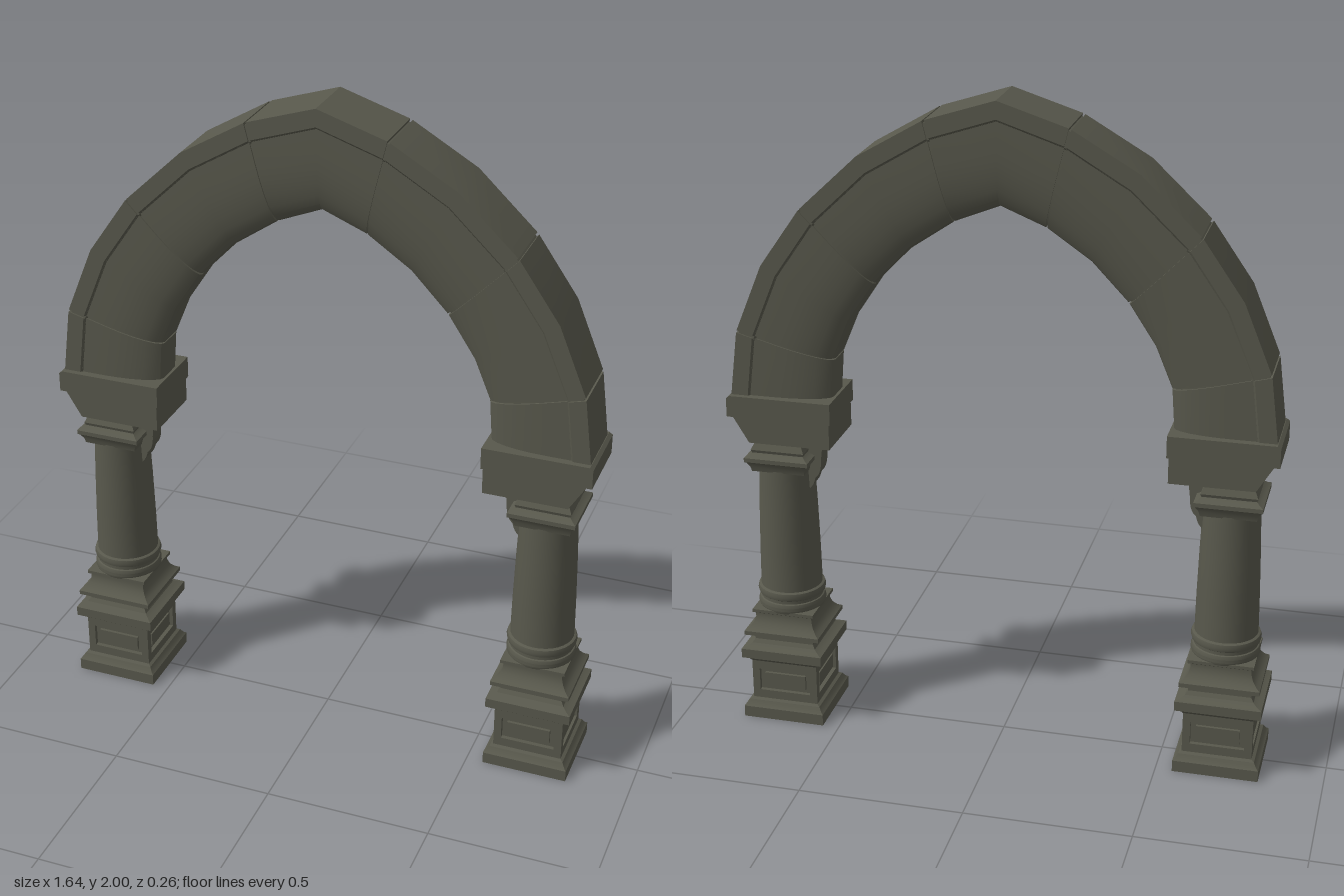
import * as THREE from 'three';
import { toCreasedNormals } from 'three/addons/utils/BufferGeometryUtils.js';

const stone = new THREE.MeshStandardMaterial({ color: 0x58584c });
stone.name = 'dark stone';

function add(parent, name, geometry) {
  const mesh = new THREE.Mesh(geometry, stone);
  mesh.name = name;
  parent.add(mesh);
  return mesh;
}

// Square moulding: profile of [half width, y], turned into a four-sided lathe
function squareTurned(profile) {
  const pts = profile.map(([r, y]) => new THREE.Vector2(r * Math.SQRT2, y));
  return toCreasedNormals(new THREE.LatheGeometry(pts, 4, Math.PI / 4), 0.4);
}

function roundTurned(profile) {
  const pts = profile.map(([r, y]) => new THREE.Vector2(r, y));
  return toCreasedNormals(new THREE.LatheGeometry(pts, 32), 0.6);
}

function polygon(points) {
  return new THREE.Shape(points.map(([x, y]) => new THREE.Vector2(x, y)));
}

function slab(shape, depth) {
  const g = new THREE.ExtrudeGeometry(shape, { depth, bevelEnabled: false, curveSegments: 8 });
  return g.translate(0, 0, -depth / 2);
}

const rect = (w, y0, y1) => [[-w, y0], [w, y0], [w, y1], [-w, y1]];

// Arch stations: outer and inner edge, from the springing to the crown
const half = [
  [0.812, 1.06, 0.51, 1.06], [0.785, 1.273, 0.5, 1.194], [0.70, 1.48, 0.45, 1.315],
  [0.578, 1.655, 0.37, 1.437], [0.403, 1.82, 0.262, 1.55], [0.207, 1.934, 0.133, 1.638],
  [0, 2, 0, 1.692],
];
const stations = [
  ...half.map(([a, b, c, d]) => [-a, b, -c, d]),
  ...half.slice(0, -1).reverse(),
];

// Cross-section of [share of the way inwards, z]: flat outer band, fillet, rounded soffit edge
const side = [[0, 0.094], [0.17, 0.094], [0.19, 0.088], [0.42, 0.088]];
for (let i = 1; i <= 6; i++) {
  const a = (i / 6) * Math.PI / 2;
  side.push([0.42 + 0.58 * Math.sin(a), 0.04 + 0.048 * Math.cos(a)]);
}
const section = [...side, ...side.map(([t, z]) => [t, -z]).reverse()];

function sweep(path, shrink) {
  const pos = [], index = [], n = section.length, last = path.length - 1;
  const put = ([ox, oy, ix, iy], t, z) => pos.push(ox + (ix - ox) * t, oy + (iy - oy) * t, z);
  for (const s of path) {
    for (const [t, z] of section) put(s, 0.5 + (t - 0.5) * shrink, z * shrink);
  }
  put(path[0], 0.4, 0);
  put(path[last], 0.4, 0);
  const c0 = n * path.length;
  for (let j = 0; j < n; j++) {
    const k = (j + 1) % n;
    for (let i = 0; i < last; i++) {
      const a = i * n + j, c = i * n + k;
      index.push(a, c, c + n, a, c + n, a + n);
    }
    index.push(c0, k, j, c0 + 1, last * n + j, last * n + k);
  }
  const g = new THREE.BufferGeometry();
  g.setAttribute('position', new THREE.Float32BufferAttribute(pos, 3));
  g.setIndex(index);
  return toCreasedNormals(g, 0.4);
}

// Moves the end station a little towards its neighbour to open a joint
function pulled(from, to) {
  const k = 0.004 / Math.hypot(to[0] - from[0], to[1] - from[1]);
  return from.map((v, i) => v + (to[i] - v) * k);
}

function createArch() {
  const arch = new THREE.Group();
  arch.name = 'arch';
  add(arch, 'archCore', sweep(stations, 0.95));
  const joints = [0, 1, 3, 5, 7, 9, 11, 12];
  for (let i = 0; i < joints.length - 1; i++) {
    const path = stations.slice(joints[i], joints[i + 1] + 1);
    const e = path.length - 1;
    const first = pulled(path[0], path[1]), end = pulled(path[e], path[e - 1]);
    path[0] = first;
    path[e] = end;
    add(arch, i === 3 ? 'keystone' : 'archBlock', sweep(path, 1));
  }
  return arch;
}

function createPier() {
  const pier = new THREE.Group();
  pier.name = 'pier';
  const column = new THREE.Group();
  column.name = 'column';
  column.position.x = 0.68;
  pier.add(column);

  // Pedestal
  add(column, 'plinth', squareTurned([
    [0, 0], [0.129, 0], [0.129, 0.036], [0.122, 0.042], [0.114, 0.055], [0.105, 0.06], [0, 0.06],
  ]));
  add(column, 'pedestalCore', new THREE.BoxGeometry(0.184, 0.16, 0.184).translate(0, 0.13, 0));
  for (let i = 0; i < 4; i++) {
    const face = new THREE.Group();
    face.name = 'pedestalFace';
    face.rotation.y = i * Math.PI / 2;
    column.add(face);
    const frame = polygon(rect(0.105, 0.055, 0.205));
    frame.holes.push(polygon(rect(0.082, 0.088, 0.162)));
    add(face, 'panelFrame', slab(frame, 0.013)).position.z = 0.0985;
    add(face, 'panel', slab(polygon(rect(0.066, 0.102, 0.148)), 0.01)).position.z = 0.096;
  }
  add(column, 'pedestalCornice', squareTurned([
    [0, 0.19], [0.106, 0.19], [0.112, 0.2], [0.12, 0.206], [0.129, 0.208], [0.129, 0.238],
    [0.114, 0.243], [0.102, 0.25], [0.094, 0.262], [0.094, 0.27], [0.102, 0.277],
    [0.12, 0.284], [0.12, 0.297], [0.108, 0.305], [0.096, 0.32], [0.09, 0.338],
    [0.09, 0.35], [0.098, 0.355], [0.098, 0.365], [0, 0.365],
  ]));

  // Shaft with base rings
  add(column, 'shaftBase', roundTurned([
    [0, 0.36], [0.1, 0.36], [0.104, 0.37], [0.104, 0.38], [0.1, 0.39], [0.096, 0.392],
    [0.096, 0.402], [0.102, 0.406], [0.105, 0.417], [0.102, 0.428], [0.095, 0.432], [0, 0.432],
  ]));
  add(column, 'shaft', roundTurned([[0.095, 0.425], [0.093, 0.55], [0.089, 0.7], [0.084, 0.83]]));

  // Capital
  add(column, 'capital', squareTurned([
    [0, 0.826], [0.082, 0.826], [0.086, 0.842], [0.094, 0.856], [0.1, 0.86], [0.1, 0.873],
    [0.088, 0.879], [0.08, 0.886], [0.083, 0.895], [0.076, 0.91], [0.067, 0.93], [0, 0.93],
  ]));

  // Springer block carrying the arch
  add(pier, 'springerBody', slab(polygon([
    [0.506, 0.928], [0.757, 0.928], [0.808, 1.012], [0.506, 1.012],
  ]), 0.212));
  add(pier, 'springerSlab', slab(polygon([
    [0.5, 1.008], [0.822, 1.008], [0.822, 1.066], [0.812, 1.074], [0.5, 1.074],
  ]), 0.222));

  // Scrolled bracket on the inner side
  const scroll = new THREE.Shape();
  scroll.moveTo(0.66, 0.935);
  scroll.lineTo(0.515, 0.935);
  scroll.quadraticCurveTo(0.525, 0.905, 0.555, 0.902);
  scroll.lineTo(0.56, 0.86);
  scroll.quadraticCurveTo(0.56, 0.815, 0.58, 0.80);
  scroll.quadraticCurveTo(0.585, 0.775, 0.6, 0.762);
  scroll.lineTo(0.66, 0.79);
  add(pier, 'bracket', toCreasedNormals(slab(scroll, 0.06), 0.5));
  return pier;
}

export function createModel() {
  const model = new THREE.Group();
  model.name = 'archway';
  model.add(createArch());
  for (const turn of [0, Math.PI]) {
    const pier = createPier();
    pier.rotation.y = turn;
    model.add(pier);
  }
  return model;
}
